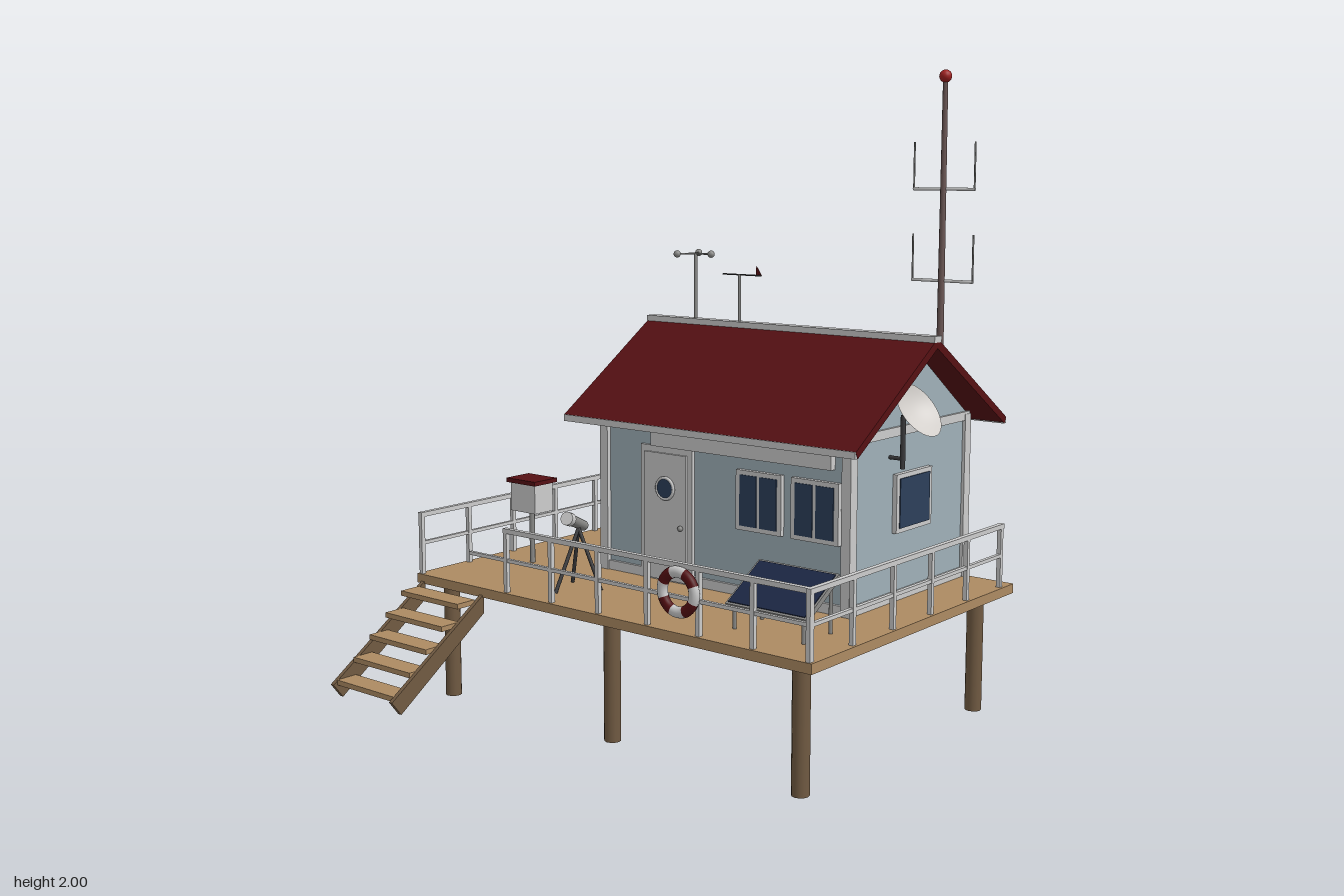
import * as THREE from 'three';

const mat = (color, extra = {}) => new THREE.MeshStandardMaterial({ color, ...extra });
const M = {
  grey: mat(0xcccccc), pole: mat(0x8a8a88), wall: mat(0x9fb0b8), roof: mat(0x551013),
  deck: mat(0xac8a62), wood: mat(0x705a42), glass: mat(0x2c3f5a), panel: mat(0x1c2744),
  mast: mat(0x6a5654), red: mat(0xa02020), dark: mat(0x3a3a3c),
  dish: mat(0xd4d0cc, { side: THREE.DoubleSide }), vane: mat(0x551013, { side: THREE.DoubleSide }),
};
const V = (x, y, z) => new THREE.Vector3(x, y, z);
const RIDGE = -0.355;

export function createModel() {
  const root = new THREE.Group();
  const group = (name) => {
    const g = new THREE.Group();
    g.name = name;
    root.add(g);
    return g;
  };
  const add = (parent, name, geo, m, x = 0, y = 0, z = 0) => {
    const mesh = new THREE.Mesh(geo, m);
    mesh.name = name;
    mesh.position.set(x, y, z);
    parent.add(mesh);
    return mesh;
  };
  // Box given by its limits on each axis
  const box = (parent, name, m, x0, x1, y0, y1, z0, z1) =>
    add(parent, name, new THREE.BoxGeometry(x1 - x0, y1 - y0, z1 - z0), m,
      (x0 + x1) / 2, (y0 + y1) / 2, (z0 + z1) / 2);
  // Round bar between two points
  const bar = (parent, name, m, a, b, r0, r1 = r0, sides = 10) => {
    const mesh = add(parent, name, new THREE.CylinderGeometry(r1, r0, a.distanceTo(b), sides), m);
    mesh.position.copy(a).add(b).multiplyScalar(0.5);
    mesh.quaternion.setFromUnitVectors(V(0, 1, 0), b.clone().sub(a).normalize());
    return mesh;
  };
  // Cross-section in (z from ridge, y), drawn out along x
  const prism = (parent, name, m, pts, x0, x1) => {
    const shape = new THREE.Shape(pts.map(([u, y]) => new THREE.Vector2(u, y)));
    const geo = new THREE.ExtrudeGeometry(shape, { depth: x1 - x0, bevelEnabled: false });
    geo.rotateY(Math.PI / 2);
    return add(parent, name, geo, m, x0, 0, RIDGE);
  };

  // Platform and piles
  const platform = group('platform');
  box(platform, 'deck', M.deck, -0.775, 0.775, 0.375, 0.405, -0.685, 0.415);
  for (const x of [-0.695, 0, 0.69]) for (const z of [0.34, -0.6])
    bar(platform, 'pile', M.wood, V(x, 0, z), V(x, 0.38, z), 0.026, 0.026, 12);

  // House body with gables
  const house = group('house');
  prism(house, 'walls', M.wall,
    [[-0.325, 0.405], [0.325, 0.405], [0.325, 0.935], [0, 1.17], [-0.325, 0.935]], -0.355, 0.595);
  for (const [x0, x1] of [[-0.367, -0.335], [0.573, 0.605]])
    for (const [z0, z1] of [[-0.695, -0.66], [-0.05, -0.015]])
      box(house, 'cornerBoard', M.grey, x0, x1, 0.405, 0.93, z0, z1);
  for (const [y0, y1] of [[0.405, 0.435], [0.91, 0.938]]) {
    for (const z of [-0.69, -0.03]) box(house, 'wallTrim', M.grey, -0.335, 0.573, y0, y1, z, z + 0.01);
    for (const x of [-0.365, 0.593]) box(house, 'sideTrim', M.grey, x, x + 0.01, y0, y1, -0.69, -0.02);
  }

  // Roof
  const roof = group('roof');
  prism(roof, 'roofSlopes', M.roof,
    [[0, 1.2], [-0.43, 0.915], [-0.42, 0.895], [0, 1.17], [0.42, 0.895], [0.43, 0.915]], -0.44, 0.68);
  box(roof, 'ridgeCap', M.grey, -0.441, 0.681, 1.188, 1.207, RIDGE - 0.02, RIDGE + 0.02);
  for (const s of [-1, 1])
    box(roof, 'fascia', M.grey, -0.439, 0.679, 0.895, 0.916, RIDGE + s * 0.423 - 0.009, RIDGE + s * 0.423 + 0.009);

  // Door
  const door = group('door');
  box(door, 'doorFrame', M.grey, -0.195, 0.015, 0.405, 0.835, -0.035, -0.018);
  box(door, 'doorLeaf', M.grey, -0.175, -0.005, 0.41, 0.815, -0.03, -0.01);
  add(door, 'porthole', new THREE.CylinderGeometry(0.032, 0.032, 0.01, 24), M.glass, -0.085, 0.705, -0.008).rotation.x = Math.PI / 2;
  add(door, 'portholeRim', new THREE.TorusGeometry(0.034, 0.005, 8, 24), M.grey, -0.085, 0.705, -0.006);
  add(door, 'knob', new THREE.SphereGeometry(0.009, 12, 8), M.pole, -0.022, 0.585, -0.004);

  // Windows: frame, then dark panes
  const makeWindow = (w, h, panes, x, y, z, turn) => {
    const g = group('window');
    box(g, 'windowFrame', M.grey, -w / 2, w / 2, -h / 2, h / 2, -0.01, 0.01);
    const pw = (w - 0.02) / panes;
    for (let i = 0; i < panes; i++) {
      const x0 = -w / 2 + 0.01 + i * pw;
      box(g, 'pane', M.glass, x0 + 0.006, x0 + pw - 0.006, -h / 2 + 0.014, h / 2 - 0.014, 0, 0.013);
    }
    g.position.set(x, y, z);
    g.rotation.y = turn;
  };
  makeWindow(0.17, 0.185, 2, 0.273, 0.705, -0.025, 0);
  makeWindow(0.17, 0.185, 2, 0.478, 0.705, -0.025, 0);
  makeWindow(0.2, 0.18, 1, 0.6, 0.705, RIDGE, Math.PI / 2);
  makeWindow(0.2, 0.18, 1, -0.36, 0.705, RIDGE, -Math.PI / 2);
  box(house, 'signBoard', M.grey, -0.145, 0.54, 0.835, 0.905, -0.03, -0.008);

  // Railings
  const railing = group('railing');
  const t = 0.007;
  for (let i = 0; i < 7; i++) {
    const x = -0.38 + i * 0.19;
    box(railing, 'frontPost', M.grey, x - t, x + t, 0.4, 0.6, 0.4 - t, 0.4 + t);
  }
  box(railing, 'frontTopRail', M.grey, -0.387, 0.767, 0.591, 0.606, 0.392, 0.408);
  box(railing, 'frontMidRail', M.grey, -0.54, 0.765, 0.5, 0.511, 0.395, 0.406);
  for (const x of [-0.76, 0.76]) {
    for (let i = 0; i < 6; i++) {
      const z = 0.405 - i * 0.205;
      box(railing, 'sidePost', M.grey, x - t, x + t, 0.4, 0.6, z - t, z + t);
    }
    box(railing, 'sideTopRail', M.grey, x - 0.008, x + 0.008, 0.591, 0.606, -0.63, 0.412);
    box(railing, 'sideMidRail', M.grey, x - 0.006, x + 0.006, 0.5, 0.511, -0.625, 0.41);
  }

  // Stairs
  const stairs = group('stairs');
  for (const x of [-0.757, -0.487])
    prism(stairs, 'stringer', M.wood,
      [[0.41, 0.385], [0.41, 0.325], [0.755, 0.085], [0.79, 0.13]].map(([z, y]) => [-(z - RIDGE), y]), x, x + 0.014);
  for (let i = 0; i < 5; i++) {
    const z = 0.475 + i * 0.066, y = 0.363 - i * 0.057;
    box(stairs, 'tread', M.deck, -0.745, -0.485, y - 0.008, y + 0.008, z - 0.036, z + 0.036);
  }

  // Instrument shelter
  const shelter = group('instrumentShelter');
  bar(shelter, 'shelterPost', M.pole, V(-0.595, 0.4, 0.07), V(-0.595, 0.59, 0.07), 0.009);
  box(shelter, 'shelterBox', M.grey, -0.65, -0.54, 0.58, 0.675, 0.028, 0.112);
  box(shelter, 'shelterRoof', M.roof, -0.66, -0.53, 0.675, 0.689, 0.018, 0.122);

  // Telescope on tripod
  const scope = group('telescope');
  const hub = V(-0.245, 0.595, 0.22);
  for (const [x, z] of [[-0.31, 0.18], [-0.17, 0.2], [-0.255, 0.315]])
    bar(scope, 'tripodLeg', M.dark, V(x, 0.405, z), hub, 0.006);
  bar(scope, 'scopeTube', M.pole, V(-0.265, 0.592, 0.175), V(-0.225, 0.637, 0.285), 0.016, 0.018, 16);
  bar(scope, 'scopeHood', M.grey, V(-0.228, 0.633, 0.275), V(-0.222, 0.641, 0.297), 0.021, 0.021, 16);

  // Solar panel
  const solar = group('solarPanel');
  const tilted = group('solarTilt');
  solar.add(tilted);
  box(tilted, 'panelFrame', M.pole, -0.14, 0.14, -0.008, 0.008, -0.094, 0.094);
  box(tilted, 'panelCells', M.panel, -0.133, 0.133, 0, 0.011, -0.087, 0.087);
  tilted.position.set(0.53, 0.522, 0.21);
  tilted.rotation.x = 0.55;
  for (const x of [0.41, 0.65]) for (const [z, y] of [[0.145, 0.56], [0.275, 0.48]])
    bar(solar, 'panelLeg', M.pole, V(x, 0.4, z), V(x, y, z), 0.006);

  // Lifebuoy in eight alternating sectors
  const buoy = group('lifebuoy');
  for (let i = 0; i < 8; i++) {
    const sector = add(buoy, 'buoySector',
      new THREE.TorusGeometry(0.058, 0.017, 12, 8, Math.PI / 4), i % 2 ? M.grey : M.roof);
    sector.rotation.z = (i + 0.5) * Math.PI / 4;
  }
  buoy.position.set(0.32, 0.525, 0.418);
  buoy.scale.z = 0.8;

  // Satellite dish
  const dish = group('satelliteDish');
  bar(dish, 'dishPost', M.dark, V(0.64, 0.82, -0.235), V(0.64, 0.98, -0.235), 0.008);
  bar(dish, 'dishBracket', M.dark, V(0.59, 0.85, -0.235), V(0.64, 0.85, -0.235), 0.006);
  const profile = [];
  for (let i = 0; i <= 8; i++) {
    const r = 0.092 * i / 8;
    profile.push(new THREE.Vector2(r, 4 * r * r - 0.034));
  }
  const bowl = add(dish, 'dishBowl', new THREE.LatheGeometry(profile, 32), M.dish, 0.692, 1.002, -0.235);
  bowl.quaternion.setFromUnitVectors(V(0, 1, 0), V(0.8, 0.6, 0));

  // Radio mast with two crossarms
  const mast = group('radioMast');
  bar(mast, 'mastPole', M.mast, V(0.53, 0.94, -0.62), V(0.53, 1.97, -0.62), 0.012, 0.008, 12);
  add(mast, 'beacon', new THREE.SphereGeometry(0.02, 16, 12), M.red, 0.53, 1.98, -0.62);
  for (const y of [1.35, 1.635]) {
    bar(mast, 'crossarm', M.grey, V(0.42, y, -0.624), V(0.64, y, -0.624), 0.005);
    for (const x of [0.422, 0.638]) bar(mast, 'aerial', M.pole, V(x, y, -0.624), V(x, y + 0.145, -0.624), 0.003);
  }

  // Cup anemometer
  const wind = group('anemometer');
  const top = V(-0.245, 1.42, RIDGE);
  bar(wind, 'windPost', M.pole, V(-0.245, 1.19, RIDGE), top, 0.006);
  for (let i = 0; i < 3; i++) {
    const a = i * Math.PI * 2 / 3;
    const tip = V(top.x + 0.065 * Math.cos(a), top.y, top.z + 0.065 * Math.sin(a));
    bar(wind, 'cupArm', M.pole, top, tip, 0.003);
    add(wind, 'cup', new THREE.SphereGeometry(0.012, 12, 8), M.pole, tip.x, tip.y, tip.z);
  }

  // Wind vane
  const vane = group('windVane');
  bar(vane, 'vanePost', M.pole, V(-0.062, 1.19, RIDGE), V(-0.062, 1.36, RIDGE), 0.005);
  bar(vane, 'vaneArm', M.dark, V(-0.13, 1.358, RIDGE), V(0.025, 1.358, RIDGE), 0.0025);
  const fin = new THREE.Shape([[0.005, 1.358], [0.028, 1.358], [0.005, 1.392]].map(([x, y]) => new THREE.Vector2(x, y)));
  add(vane, 'vaneFin', new THREE.ShapeGeometry(fin), M.vane, 0, 0, RIDGE);

  return root;
}
